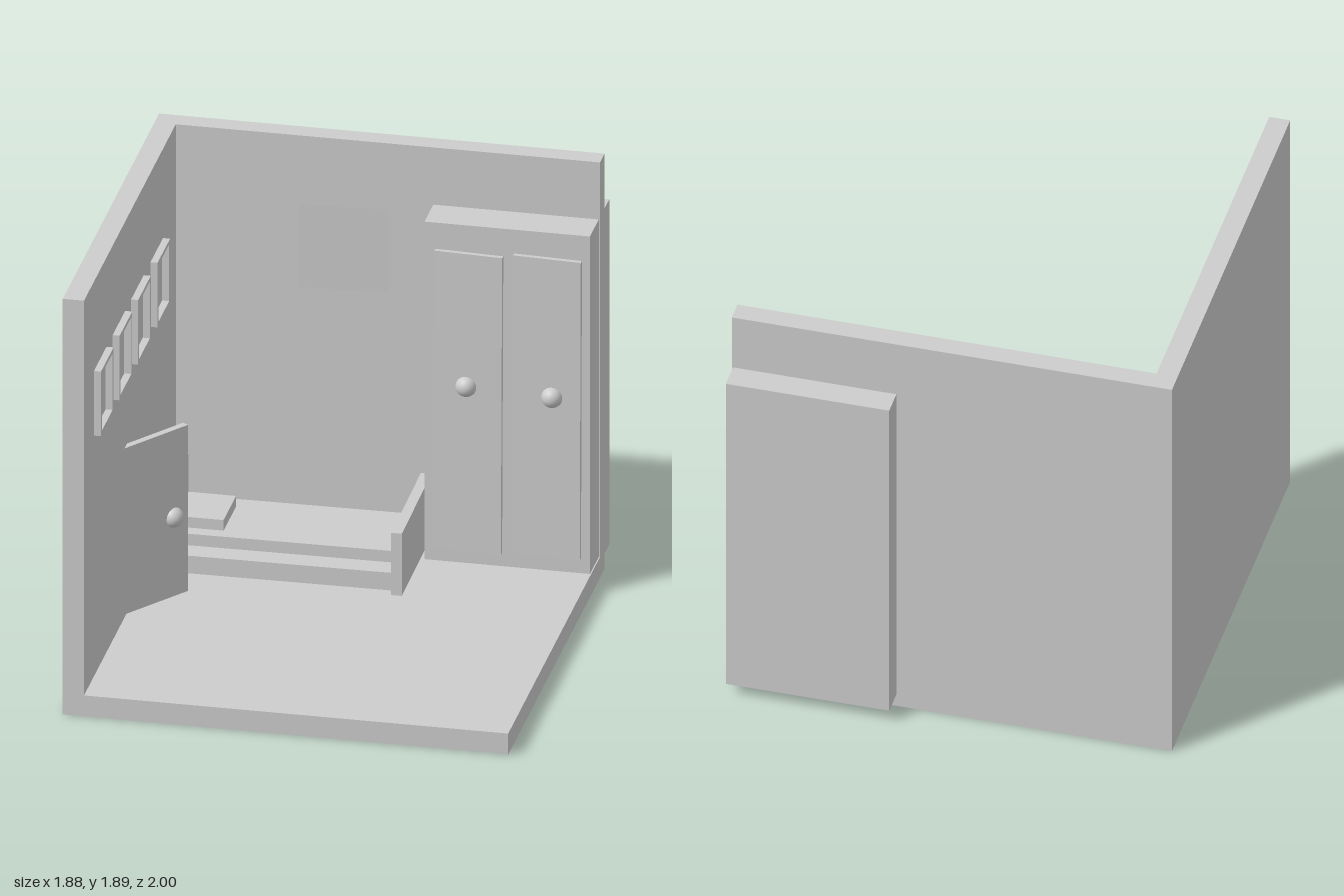
import * as THREE from 'three';

export function createModel() {
  const room = new THREE.Group();
  room.name = 'bedroom';
  const plaster = new THREE.MeshStandardMaterial({ color: 0xcccccc, side: THREE.DoubleSide });
  plaster.name = 'plainGrey';

  function add(name, geometry, position = [0, 0, 0], rotation = [0, 0, 0], parent = room) {
    const mesh = new THREE.Mesh(geometry, plaster);
    mesh.name = name;
    mesh.position.set(...position);
    mesh.rotation.set(...rotation);
    parent.add(mesh);
    return mesh;
  }

  // Box given by its limits on each axis, optionally turned about its centre
  function box(name, [x0, x1], [y0, y1], [z0, z1], rotation) {
    return add(name, new THREE.BoxGeometry(x1 - x0, y1 - y0, z1 - z0),
      [(x0 + x1) / 2, (y0 + y1) / 2, (z0 + z1) / 2], rotation);
  }

  const knob = (name, position, r = 0.045) =>
    add(name, new THREE.SphereGeometry(r, 32, 20), position);

  // Room shell: L-shaped wall outline raised from the floor slab
  box('floor', [-0.945, 0.94], [0, 0.095], [-0.885, 1]);
  const plan = new THREE.Shape([
    [-0.945, -1], [-0.855, -1], [-0.855, 0.795], [0.94, 0.795], [0.94, 0.885], [-0.945, 0.885],
  ].map(([x, y]) => new THREE.Vector2(x, y)));
  const walls = new THREE.ExtrudeGeometry(plan, { depth: 1.795, bevelEnabled: false });
  walls.rotateX(-Math.PI / 2);
  add('walls', walls, [0, 0.095, 0]);

  // Wardrobe, set through the back wall
  box('wardrobe', [0.235, 0.935], [0.06, 1.63], [-1, -0.622]);
  box('wardrobeDoorLeft', [0.277, 0.568], [0.16, 1.51], [-0.618, -0.598], [0, -0.045, -0.004]);
  box('wardrobeDoorRight', [0.612, 0.902], [0.17, 1.522], [-0.615, -0.595], [0, -0.045, -0.003]);
  knob('wardrobeKnobLeft', [0.415, 0.907, -0.605]);
  knob('wardrobeKnobRight', [0.78, 0.895, -0.598]);

  // Bed
  box('headboard', [-0.843, -0.795], [0.13, 0.405], [-0.78, -0.175], [0, 0.01, 0]);
  box('footboard', [0.19, 0.235], [0.132, 0.415], [-0.775, -0.165], [0, 0.01, 0]);
  box('bedBase', [-0.778, 0.19], [0.13, 0.21], [-0.748, -0.208], [0, 0.012, 0]);
  box('mattress', [-0.77, 0.19], [0.21, 0.262], [-0.69, -0.31], [0, 0.012, 0]);
  box('pillow', [-0.762, -0.56], [0.262, 0.31], [-0.612, -0.366]);

  // Half-open room door, hinged in the left wall
  add('roomDoor', new THREE.BoxGeometry(0.4, 0.755, 0.03), [-0.777, 0.4875, 0.078], [0, 0.943, 0]);
  knob('roomDoorKnob', [-0.697, 0.467, -0.018], 0.044);

  // Picture frames on the left wall
  const frameShape = new THREE.Shape();
  const rect = (path, w, h) => path.moveTo(-w, -h).lineTo(w, -h).lineTo(w, h).lineTo(-w, h).closePath();
  rect(frameShape, 0.123, 0.147);
  const opening = new THREE.Path();
  rect(opening, 0.105, 0.129);
  frameShape.holes.push(opening);
  const frame = new THREE.ExtrudeGeometry(frameShape, { depth: 0.03, bevelEnabled: false });
  frame.rotateY(Math.PI / 2);
  [0.683, 0.318, -0.045, -0.423].forEach((z, i) =>
    add('pictureFrame' + (i + 1), frame, [-0.855, 1.337, z]));

  // Poster on the back wall and rug on the floor
  add('poster', new THREE.PlaneGeometry(0.375, 0.377), [-0.138, 1.408, -0.765], [0, 0.07, 0]);
  const rug = new THREE.PlaneGeometry(1.05, 1.133);
  rug.rotateX(-Math.PI / 2);
  add('rug', rug, [0.02, 0.115, 0.433], [0.005, 0, -0.007]);

  return room;
}
